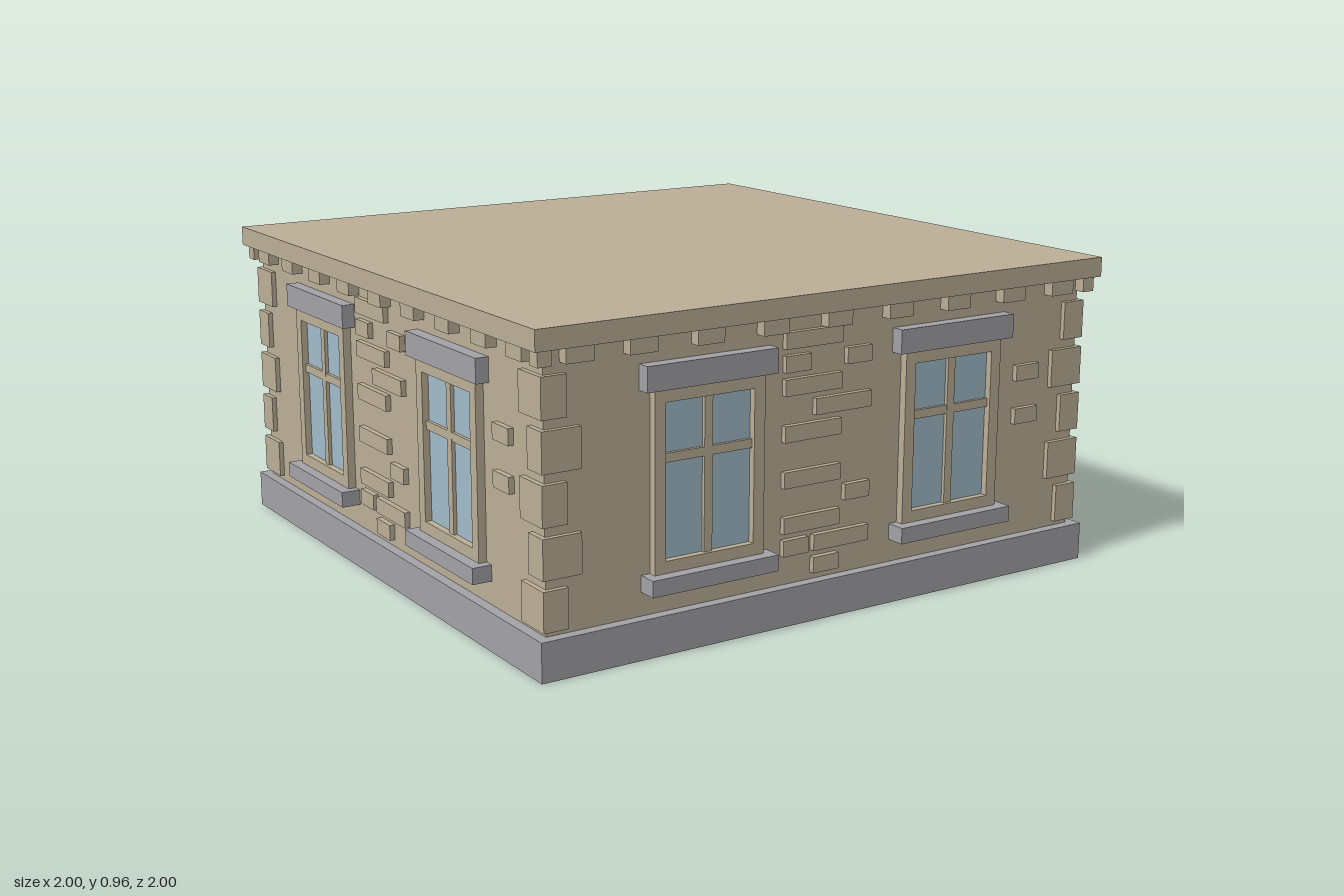
import * as THREE from 'three';

const WALL = 0.938; // distance of each wall face from the centre

export function createModel() {
  const model = new THREE.Group();
  model.name = 'stoneHouse';
  const material = (name, color) => {
    const m = new THREE.MeshStandardMaterial({ color });
    m.name = name;
    return m;
  };
  const sandstone = material('sandstone', 0xbcaf97);
  const greyStone = material('greyStone', 0xa3a2a6);
  const glass = material('windowGlass', 0xa2bccb);

  // Box given by its lower and upper limits on each axis
  const box = (parent, name, mat, [x0, x1], [y0, y1], [z0, z1]) => {
    const mesh = new THREE.Mesh(new THREE.BoxGeometry(x1 - x0, y1 - y0, z1 - z0), mat);
    mesh.position.set((x0 + x1) / 2, (y0 + y1) / 2, (z0 + z1) / 2);
    mesh.name = name;
    parent.add(mesh);
  };
  const span = (w) => [-w / 2, w / 2];

  // Main masses
  box(model, 'plinth', greyStone, [-0.97, 0.97], [0, 0.115], [-0.97, 0.97]);
  box(model, 'walls', sandstone, [-WALL, WALL], [0.115, 0.9], [-WALL, WALL]);
  box(model, 'roofSlab', sandstone, [-0.987, 0.987], [0.9, 0.96], [-0.987, 0.987]);

  // Window: moulded frame, recessed glass, crossing bars, lintel and sill
  const addWindow = (side, x, w) => {
    const win = new THREE.Group();
    win.name = 'window';
    win.position.x = x;
    side.add(win);
    const rect = (target, hw, y0, y1) => {
      target.moveTo(-hw, y0);
      target.lineTo(hw, y0);
      target.lineTo(hw, y1);
      target.lineTo(-hw, y1);
      target.closePath();
      return target;
    };
    const outline = rect(new THREE.Shape(), w / 2 + 0.036, 0.23, 0.75);
    outline.holes.push(rect(new THREE.Path(), w / 2, 0.267, 0.711));
    const frame = new THREE.Mesh(
      new THREE.ExtrudeGeometry(outline, { depth: 0.028, bevelEnabled: false }), sandstone);
    frame.position.z = 0.935;
    frame.name = 'windowFrame';
    win.add(frame);
    box(win, 'pane', glass, span(w), [0.267, 0.711], [0.935, 0.942]);
    box(win, 'verticalBar', sandstone, span(0.027), [0.267, 0.711], [0.936, 0.953]);
    box(win, 'crossBar', sandstone, span(w), [0.541, 0.567], [0.936, 0.952]);
    box(win, 'lintel', greyStone, span(w + 0.138), [0.748, 0.82], [0.93, 0.978]);
    box(win, 'sill', greyStone, span(w + 0.128), [0.184, 0.232], [0.93, 0.998]);
  };

  // Raised stones: row number from the top, then left and right edge
  const L = -0.174, M = -0.067, R = 0.131;
  const stones = [
    [0, L, 0.024], [1, L, -0.086], [1, 0.042, R], [2, L, 0.024], [3, M, R],
    [4, L, 0.024], [6, L, 0.024], [7, 0.042, R], [8, L, 0.024], [9, L, -0.086],
    [9, M, R], [10, M, 0.024], [3, 0.688, 0.778], [5, 0.688, 0.778],
  ];
  const dentils = [0, 0.22, 0.436, 0.65, 0.845];

  const addSide = (name, angle, windowX, windowWidth, hasStones) => {
    const side = new THREE.Group();
    side.name = name;
    side.rotation.y = angle;
    model.add(side);
    for (const s of [-1, 1]) addWindow(side, s * windowX, windowWidth);
    for (const d of dentils) {
      for (const x of d ? [-d, d] : [0]) {
        box(side, 'dentil', sandstone, [x - 0.043, x + 0.043], [0.855, 0.902], [0.93, 0.972]);
      }
    }
    if (!hasStones) return;
    for (const [row, x0, x1] of stones) {
      const y = 0.828 - row * 0.0668;
      box(side, 'raisedStone', sandstone, [x0, x1], [y - 0.024, y + 0.024], [0.93, 0.955]);
    }
  };
  addSide('frontSide', 0, 0.431, 0.29, true);
  addSide('backSide', Math.PI, 0.431, 0.29, true);
  addSide('rightSide', -Math.PI / 2, 0.431, 0.29, true);
  addSide('leftSide', Math.PI / 2, 0.65, 0.214, false);

  // Corner quoins, alternating long and short on each face
  const edge = (s, len) => (s > 0 ? [0.953 - len, 0.953] : [-0.953, len - 0.953]);
  for (const sx of [-1, 1]) {
    for (const sz of [-1, 1]) {
      for (let i = 0; i < 5; i++) {
        const y = 0.768 - i * 0.1448;
        const [lx, lz] = i % 2 ? [0.12, 0.077] : [0.077, 0.12];
        box(model, 'quoin', sandstone, edge(sx, lx), [y - 0.058, y + 0.058], edge(sz, lz));
      }
    }
  }
  // Corner dentils under the roof edge
  for (const sx of [-1, 1]) {
    for (const sz of [-1, 1]) {
      const lim = (s) => (s > 0 ? [0.93, 0.972] : [-0.972, -0.93]);
      box(model, 'cornerDentil', sandstone, lim(sx), [0.855, 0.902], lim(sz));
    }
  }
  return model;
}
